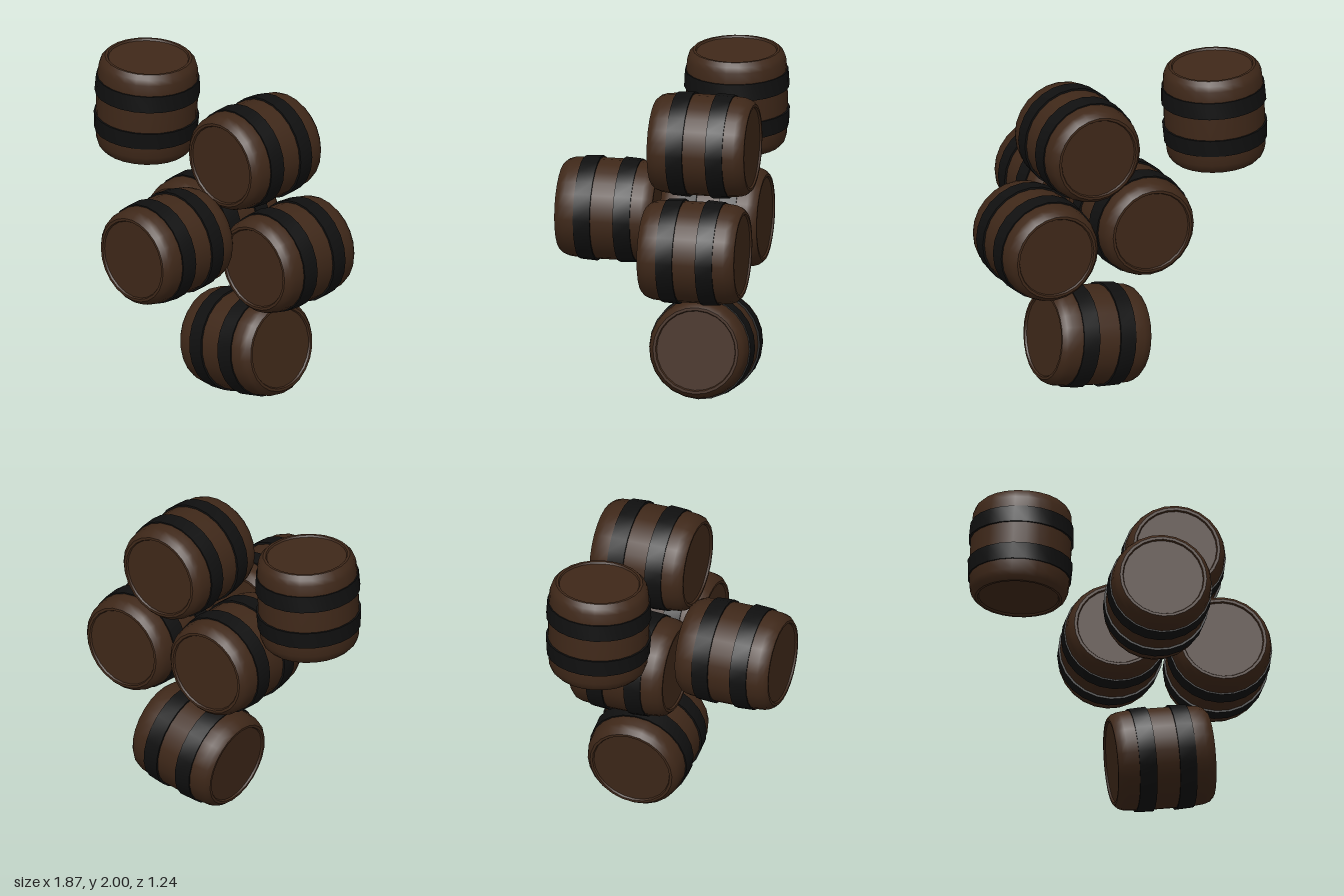
import * as THREE from 'three';
import { toCreasedNormals } from 'three/addons/utils/BufferGeometryUtils.js';

const SIDES = 24;
const wood = new THREE.MeshStandardMaterial({ color: 0x3f2819 });
const iron = new THREE.MeshStandardMaterial({ color: 0x101010 });

// Revolve a [radius, height] profile (bottom to top) around y
function revolve(profile) {
  const points = profile.map(([r, y]) => new THREE.Vector2(r, y));
  return toCreasedNormals(new THREE.LatheGeometry(points, SIDES), 0.6);
}

// Upper half of the cask: bulging staves, rounded rim, recessed lid
const upper = [
  [0.312, 0.06], [0.31, 0.18], [0.304, 0.245], [0.292, 0.28],
  [0.268, 0.305], [0.252, 0.305], [0.246, 0.294], [0, 0.294],
];
const lower = upper.map(([r, y]) => [r, -y]).reverse();
const caskGeometry = revolve([...lower, ...upper]);

// Iron hoop, slightly tapered toward the end of the cask
const hoopGeometry = revolve([
  [0.30, 0.072], [0.324, 0.072], [0.318, 0.178], [0.30, 0.178],
]);

function makeBarrel() {
  const barrel = new THREE.Group();
  const cask = new THREE.Mesh(caskGeometry, wood);
  cask.name = 'cask';
  barrel.add(cask);
  for (const end of [0, 1]) {
    const hoop = new THREE.Mesh(hoopGeometry, iron);
    hoop.name = end ? 'lowerHoop' : 'upperHoop';
    hoop.rotation.x = end * Math.PI;
    barrel.add(hoop);
  }
  return barrel;
}

export function createModel() {
  const model = new THREE.Group();
  model.name = 'barrelPile';
  const lying = Math.PI / 2;
  // name, position, rotation about x, rotation about z
  const layout = [
    ['uprightBarrel', [-0.607, 1.685, -0.303], 0, -0.045],
    ['topBarrel', [0.322, 1.638, -0.303], lying, 0],
    ['rightBarrel', [-0.043, 1.09, -0.303], lying, 0],
    ['leftBarrel', [0.608, 1.034, -0.303], lying, 0],
    ['frontBarrel', [0.167, 1.148, 0.311], lying, 0],
    ['bottomBarrel', [0.252, 0.345, -0.298], 0, -lying + 0.137],
  ];
  for (const [name, position, rx, rz] of layout) {
    const barrel = makeBarrel();
    barrel.name = name;
    barrel.position.set(...position);
    barrel.rotation.set(rx, 0, rz);
    model.add(barrel);
  }
  return model;
}
